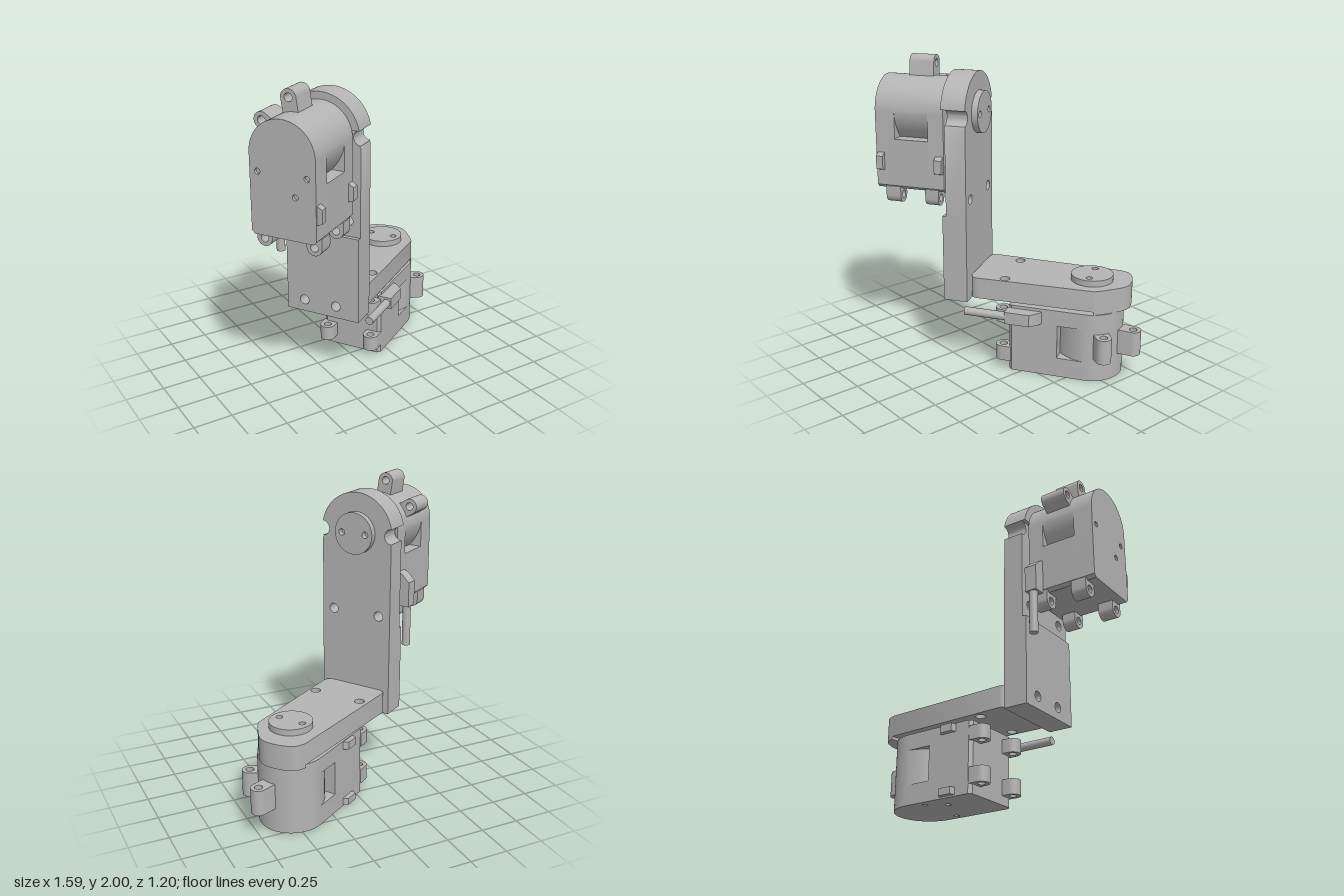
import * as THREE from 'three';
import { toCreasedNormals } from 'three/addons/utils/BufferGeometryUtils.js';

const plastic = new THREE.MeshStandardMaterial({ color: 0xb4b4b4 });
plastic.name = 'grey plastic';

function add(group, name, geometry) {
  const mesh = new THREE.Mesh(geometry, plastic);
  mesh.name = name;
  group.add(mesh);
  return mesh;
}

// Flat slab: outline drawn in (x, z), standing between heights y0 and y1
function slab(group, name, shape, y0, y1, holes = []) {
  for (const [x, z, r] of holes) {
    const hole = new THREE.Path();
    hole.absarc(x, z, r, 0, Math.PI * 2, true);
    shape.holes.push(hole);
  }
  const g = new THREE.ExtrudeGeometry(shape, { depth: y1 - y0, bevelEnabled: false, curveSegments: 28 });
  g.rotateX(Math.PI / 2).translate(0, y1, 0);
  return add(group, name, toCreasedNormals(g, 0.6));
}

const polygon = (pts) => new THREE.Shape(pts.map(([x, z]) => new THREE.Vector2(x, z)));

const box = (x0, x1, z0, z1) => polygon([[x0, z0], [x1, z0], [x1, z1], [x0, z1]]);

function disc(r) {
  const s = new THREE.Shape();
  s.absarc(0, 0, r, 0, Math.PI * 2, false);
  return s;
}

// Rounded tab from the body (bx, bz) out to its screw hole (x, z)
function lug(group, bx, bz, x, z, y0, y1) {
  const r = 0.05;
  const a = Math.atan2(z - bz, x - bx);
  const dx = -Math.sin(a) * r, dz = Math.cos(a) * r;
  const s = new THREE.Shape();
  s.moveTo(bx + dx, bz + dz);
  s.lineTo(bx - dx, bz - dz);
  s.absarc(x, z, r, a - Math.PI / 2, a + Math.PI / 2, false);
  slab(group, 'mountingLug', s, y0, y1, [[x, z, 0.025]]);
}

// Motor body section, optionally with the scooped side pockets
function bodyOutline(pocket) {
  const h = 0.21, back = -0.495, s = new THREE.Shape();
  s.moveTo(back, -h + 0.02);
  s.lineTo(back + 0.02, -h);
  if (pocket) {
    s.lineTo(-0.17, -h);
    s.lineTo(-0.17, -0.125);
    s.quadraticCurveTo(-0.09, -0.2, 0, -h);
  }
  s.lineTo(0, -h);
  s.absarc(0, 0, h, -Math.PI / 2, Math.PI / 2, false);
  if (pocket) {
    s.quadraticCurveTo(-0.09, 0.2, -0.17, 0.125);
    s.lineTo(-0.17, h);
  }
  s.lineTo(back + 0.02, h);
  s.lineTo(back, h - 0.02);
  return s;
}

// Motor hanging below its mounting plane y = 0, output axis at the origin
function addServo(group) {
  slab(group, 'motorTop', bodyOutline(false), -0.105, 0);
  slab(group, 'motorMiddle', bodyOutline(true), -0.33, -0.105);
  slab(group, 'motorBase', bodyOutline(false), -0.44, -0.33);
  slab(group, 'motorCap', bodyOutline(false), -0.46, -0.44,
    [[-0.11, 0.16, 0.018], [-0.11, -0.155, 0.018], [-0.23, -0.08, 0.018]]);
  // Tip lugs and the paired lugs at the back
  lug(group, 0.15, 0.02, 0.288, 0.041, -0.30, -0.135);
  lug(group, 0.08, 0.13, 0.136, 0.219, -0.30, -0.135);
  for (const z of [-0.163, 0.163])
    for (const [y0, y1] of [[-0.13, -0.04], [-0.40, -0.30]])
      lug(group, -0.48, z, -0.542, z, y0, y1);
  // Clips on one side
  for (const [y0, y1] of [[-0.055, -0.005], [-0.45, -0.405]])
    slab(group, 'clip', polygon([[-0.38, -0.2], [-0.365, -0.243], [-0.28, -0.243], [-0.255, -0.2]]), y0, y1);
  // Cable plug on the other side
  slab(group, 'cablePlug', polygon([[-0.5, 0.2], [-0.27, 0.2], [-0.285, 0.24], [-0.335, 0.29], [-0.5, 0.29]]), -0.10, -0.02);
  const cable = new THREE.CylinderGeometry(0.027, 0.027, 0.28, 24);
  cable.rotateZ(Math.PI / 2).translate(-0.635, -0.06, 0.258);
  add(group, 'cable', cable);
  // Output horn showing above the arm
  slab(group, 'outputHorn', disc(0.135), 0.15, 0.2, [[0, 0.085, 0.021], [0, -0.085, 0.021]]);
}

const armHoles = () => [[-0.533, 0.168, 0.032], [-0.533, -0.168, 0.032]];

// Lower, tapered arm with a rounded tip
function addLowerArm(group) {
  const tip = [[0.146, -0.205], [0.215, -0.168], [0.25, -0.06], [0.235, 0.055], [0.125, 0.158], [0.06, 0.2]];
  const s = new THREE.Shape();
  s.moveTo(-0.758, -0.18);
  s.quadraticCurveTo(-0.755, -0.23, -0.715, -0.232);
  s.lineTo(...tip[0]);
  s.splineThru(tip.slice(1).map(([x, z]) => new THREE.Vector2(x, z)));
  s.lineTo(-0.69, 0.217);
  s.quadraticCurveTo(-0.75, 0.222, -0.758, 0.17);
  slab(group, 'lowerArm', s, 0.02, 0.16, armHoles());
  const lip = new THREE.Shape();
  lip.moveTo(...tip[0]);
  lip.splineThru(tip.slice(1).map(([x, z]) => new THREE.Vector2(x, z)));
  slab(group, 'lowerArmLip', lip, 0, 0.02);
}

// Upper arm: notched plate, domed end and thicker foot
function addUpperArm(group) {
  const h = 0.2515, n = 0.048, r = Math.hypot(h, n), a = Math.atan2(h, n);
  const s = new THREE.Shape();
  s.moveTo(-0.64, -h);
  s.lineTo(-n - 0.015, -h);
  s.lineTo(-n, -h + 0.01);
  s.absarc(0, -h, n, Math.PI, 0, true);
  s.absarc(0, 0, r, -a, a, false);
  s.absarc(0, h, n, 0, -Math.PI, true);
  s.lineTo(-n - 0.015, h);
  s.lineTo(-0.64, h);
  slab(group, 'upperArm', s, 0.025, 0.16, [[-0.533, 0.168, 0.032], [-0.533, -0.168, 0.032]]);
  const dome = new THREE.Shape();
  dome.absarc(0, 0, r, -a, a, false);
  slab(group, 'upperArmDome', dome, 0, 0.025);
  slab(group, 'upperArmFoot', box(-1.205, -0.635, -h, h), 0, 0.16,
    [[-1.125, 0.13, 0.032], [-1.125, -0.093, 0.032]]);
}

export function createModel() {
  const model = new THREE.Group();
  model.name = 'twoJointArm';

  const lower = new THREE.Group();
  lower.name = 'lowerJoint';
  addServo(lower);
  addLowerArm(lower);
  lower.position.set(0.583, 0.46, -0.025);

  // Same motor turned so that its tip points up and its cap faces outward
  const upper = new THREE.Group();
  upper.name = 'upperJoint';
  addServo(upper);
  addUpperArm(upper);
  upper.quaternion.setFromAxisAngle(new THREE.Vector3(1, 1, 0).normalize(), Math.PI);
  upper.position.set(-0.34, 1.662, -0.025);

  const turned = new THREE.Group();
  turned.name = 'armAssembly';
  turned.add(lower, upper);
  turned.rotation.y = THREE.MathUtils.degToRad(32.5);
  model.add(turned);
  return model;
}
